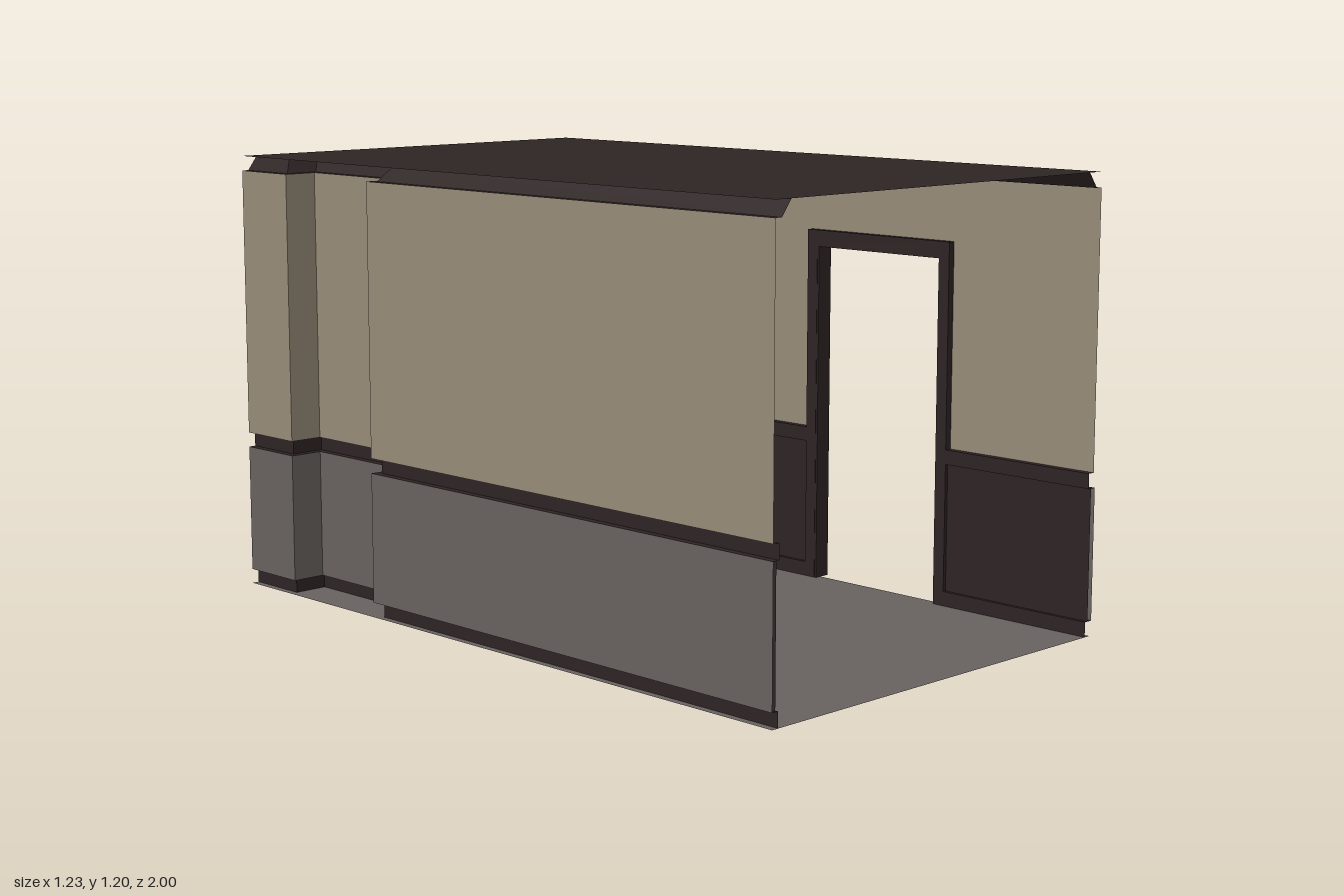
import * as THREE from 'three';

const mat = (name, color) => {
  const m = new THREE.MeshStandardMaterial({ color, side: THREE.DoubleSide });
  m.name = name;
  return m;
};

const HALF = 1, TOP = 1.2;                 // half length, ceiling height
const LEFT = -0.615, RIGHT = 0.585;        // wall planes
const STEP = 0.095, STEP_A = -0.45, STEP_B = -0.8; // pilaster depth and ends
const DOOR_A = 0.5, DOOR_B = 0.06, DOOR_H = 0.95;  // doorway

// Plan line of a wall surface moved inward by o: runs of [inward distance, z]
function runs(o, door) {
  const back = [[o, STEP_A + o], [o + STEP, STEP_A + o], [o + STEP, STEP_B - o], [o, STEP_B - o], [o, -HALF]];
  return door
    ? [[[o, HALF], [o, DOOR_A]], [[o, DOOR_B], ...back]]
    : [[[o, HALF], ...back]];
}

// Strip of wall between two heights, each with its own inward offset
function strip(y0, o0, y1, o1, side, door) {
  const p = [];
  const at = ([d, z], y) => [side < 0 ? LEFT + d : RIGHT - d, y, z];
  const low = runs(o0, door), high = runs(o1, door);
  low.forEach((run, r) => {
    for (let i = 0; i + 1 < run.length; i++) {
      const a = at(run[i], y0), b = at(run[i + 1], y0);
      const c = at(high[r][i + 1], y1), d = at(high[r][i], y1);
      if (side < 0) p.push(...a, ...b, ...c, ...a, ...c, ...d);
      else p.push(...a, ...c, ...b, ...a, ...d, ...c);
    }
  });
  const g = new THREE.BufferGeometry();
  g.setAttribute('position', new THREE.Float32BufferAttribute(p, 3));
  g.computeVertexNormals();
  return g;
}

export function createModel() {
  const model = new THREE.Group();
  model.name = 'corridor';
  const beige = mat('beige plaster', 0x958b78);
  const grey = mat('grey', 0x67625f);
  const dark = mat('dark wood', 0x2e2424);

  const add = (parent, name, geometry, material) => {
    const mesh = new THREE.Mesh(geometry, material);
    mesh.name = name;
    parent.add(mesh);
    return mesh;
  };

  // Floor and ceiling sheets
  const width = RIGHT - LEFT;
  for (const [name, y, m] of [['floor', 0, grey], ['ceiling', TOP, dark]]) {
    const sheet = add(model, name, new THREE.PlaneGeometry(width, 2 * HALF).rotateX(-Math.PI / 2), m);
    sheet.position.set((LEFT + RIGHT) / 2, y, 0);
  }

  // Both walls, from skirting to cornice
  for (const side of [-1, 1]) {
    const wall = new THREE.Group();
    wall.name = side < 0 ? 'rightWall' : 'leftWall';
    model.add(wall);
    const door = side > 0;
    const back = door ? -0.006 : 0;
    const parts = [
      ['skirting', 0, 0.02, 0.04, 0.02, dark],
      ['skirtingLedge', 0.04, 0.02, 0.04, back, dark],
      ['wainscot', 0.04, 0.01, 0.39, 0.01, dark],
      ['outerPanel', 0.04, back, 0.39, back, grey],
      ['railUnderside', 0.39, back, 0.39, 0.02, dark],
      ['rail', 0.39, 0.02, 0.43, 0.02, dark],
      ['railLedge', 0.43, 0.02, 0.43, 0, dark],
      ['plaster', 0.43, 0, DOOR_H, 0, beige],
    ];
    for (const [name, y0, o0, y1, o1, m] of parts)
      add(wall, name, strip(y0, o0, y1, o1, side, door), m);
    add(wall, 'upperPlaster', strip(DOOR_H, 0, 1.16, 0, side, false), beige);
    add(wall, 'corniceUnderside', strip(1.16, 0, 1.16, 0.02, side, false), dark);
    add(wall, 'cornice', strip(1.16, 0.02, TOP, 0.05, side, false), dark);
  }

  // Door frame: casing around the opening and a deeper lining inside it
  const frame = new THREE.Group();
  frame.name = 'doorFrame';
  model.add(frame);
  const box = (name, x0, x1, y0, y1, z0, z1) =>
    add(frame, name, new THREE.BoxGeometry(x1 - x0, y1 - y0, z1 - z0), dark)
      .position.set((x0 + x1) / 2, (y0 + y1) / 2, (z0 + z1) / 2);
  box('casingFront', 0.565, 0.593, 0, 0.99, DOOR_A, 0.53);
  box('casingBack', 0.565, 0.593, 0, 0.99, 0.025, DOOR_B);
  box('casingTop', 0.565, 0.593, DOOR_H, 0.99, DOOR_B, DOOR_A);
  box('liningFront', 0.566, 0.615, 0, DOOR_H, DOOR_A - 0.006, DOOR_A);
  box('liningBack', 0.566, 0.615, 0, DOOR_H, DOOR_B, DOOR_B + 0.006);
  box('liningTop', 0.566, 0.615, DOOR_H - 0.006, DOOR_H, DOOR_B, DOOR_A);

  return model;
}
